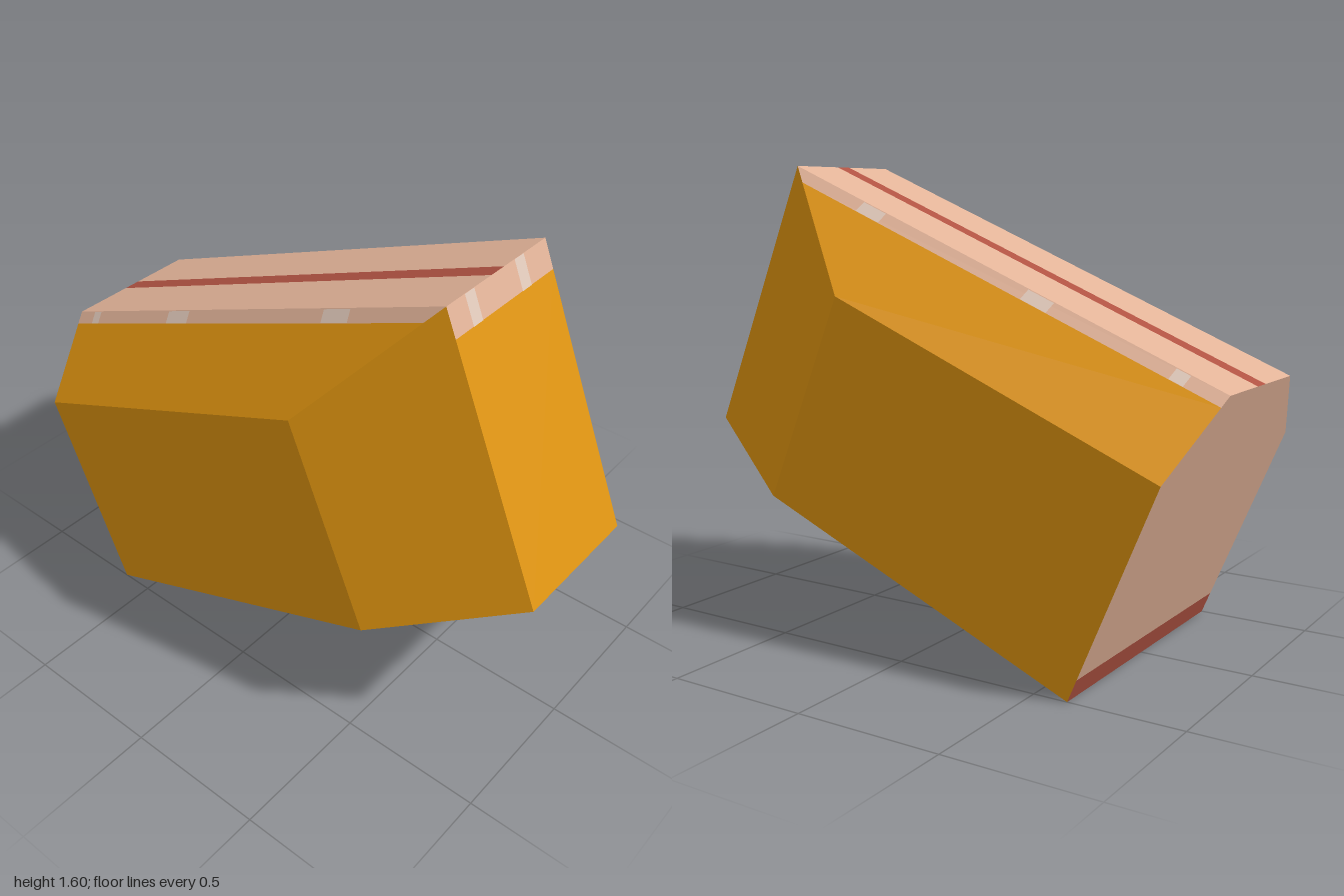
import * as THREE from 'three';

const mat = (name, color) => {
  const m = new THREE.MeshStandardMaterial({ color });
  m.name = name;
  return m;
};

export function createModel() {
  const orange = mat('orange', 0xe09510);
  const tan = mat('tan', 0xe2b398);
  const red = mat('brick red', 0xb05342);
  const pale = mat('pale tan', 0xe2cabb);

  // Block frame: x along the length, y up through the height, z across.
  const L = 1.75, H = 1, W = 0.5, N = 0.25;   // length, height, half width, half width of narrow faces
  const S = 1.25, T = 0.75;                   // where the nose taper and the roof slope begin
  const center = new THREE.Vector3(0.8, 0.45, 0);
  const block = new THREE.Group();
  block.name = 'taperedBlock';

  // Flat convex panel, always wound to face away from the block's centre
  const panel = (name, material, corners, lift = 0) => {
    let p = corners.map(c => new THREE.Vector3(...c));
    const n = p[1].clone().sub(p[0]).cross(p[2].clone().sub(p[0])).normalize();
    if (n.dot(p[0].clone().sub(center)) < 0) { p.reverse(); n.negate(); }
    p = p.map(v => v.addScaledVector(n, lift));
    const tris = [];
    for (let i = 1; i < p.length - 1; i++) tris.push(p[0], p[i], p[i + 1]);
    const g = new THREE.BufferGeometry().setFromPoints(tris);
    g.computeVertexNormals();
    const mesh = new THREE.Mesh(g, material);
    mesh.name = name;
    block.add(mesh);
  };

  // Points on the sloped shoulder, d below the top edge
  const shoulder = (x, d, k) => [x, H - d, k * (N + d)];
  const band = 0.034, noseBand = 0.9, foot = 0.08, stripe = 0.032;

  for (const k of [1, -1]) {
    const side = k > 0 ? 'front' : 'back';
    panel(side + 'Wall', orange, [[0, 0, k * W], [S, 0, k * W], [S, T, k * W], [0, T, k * W]]);
    panel(side + 'NoseTaper', orange, [[S, 0, k * W], [L, 0, k * N], [L, H, k * N], [S, T, k * W]]);
    panel(side + 'Shoulder', orange,
      [shoulder(0, band, k), shoulder(L - 2 * band, band, k), shoulder(S, H - T, k), shoulder(0, H - T, k)]);
    panel(side + 'ShoulderBand', tan,
      [shoulder(0, 0, k), shoulder(L, 0, k), shoulder(L - 2 * band, band, k), shoulder(0, band, k)]);
    // Pale marks on the band
    const marks = k > 0 ? [[0.09, 0.13], [0.53, 0.64], [1.28, 1.39]] : [[0.13, 0.18], [0.63, 0.73], [1.33, 1.43]];
    for (const [a, b] of marks) {
      panel(side + 'BandMark', pale,
        [shoulder(a, 0.003, k), shoulder(b, 0.003, k), shoulder(b, band, k), shoulder(a, band, k)], 0.002);
    }
    // Top face on either side of the stripe
    panel(side + 'Top', tan, [[0, H, k * stripe], [L, H, k * stripe], [L, H, k * N], [0, H, k * N]]);
  }
  panel('topStripe', red, [[0, H, -stripe], [L, H, -stripe], [L, H, stripe], [0, H, stripe]]);

  // Nose with its tan upper edge
  panel('nose', orange, [[L, 0, -N], [L, 0, N], [L, noseBand, N], [L, noseBand, -N]]);
  panel('noseBand', tan, [[L, noseBand, -N], [L, noseBand, N], [L, H, N], [L, H, -N]]);
  for (const [a, b] of [[0.12, 0.165], [-0.13, -0.083]]) {
    panel('noseMark', pale, [[L, noseBand, a], [L, noseBand, b], [L, H, b], [L, H, a]], 0.002);
  }

  // Cut end with its red foot, and the base
  panel('cutEnd', tan, [[0, foot, -W], [0, foot, W], [0, T, W], [0, H, N], [0, H, -N], [0, T, -W]]);
  panel('cutEndFoot', red, [[0, 0, -W], [0, 0, W], [0, foot, W], [0, foot, -W]]);
  panel('base', red, [[0, 0, -W], [S, 0, -W], [L, 0, -N], [L, 0, N], [S, 0, W], [0, 0, W]]);

  // Tilt the block so it stands on its lower rear edge
  block.rotation.z = Math.atan2(5, 12);
  block.position.x = -0.6154;

  const model = new THREE.Group();
  model.name = 'model';
  model.add(block);
  return model;
}
